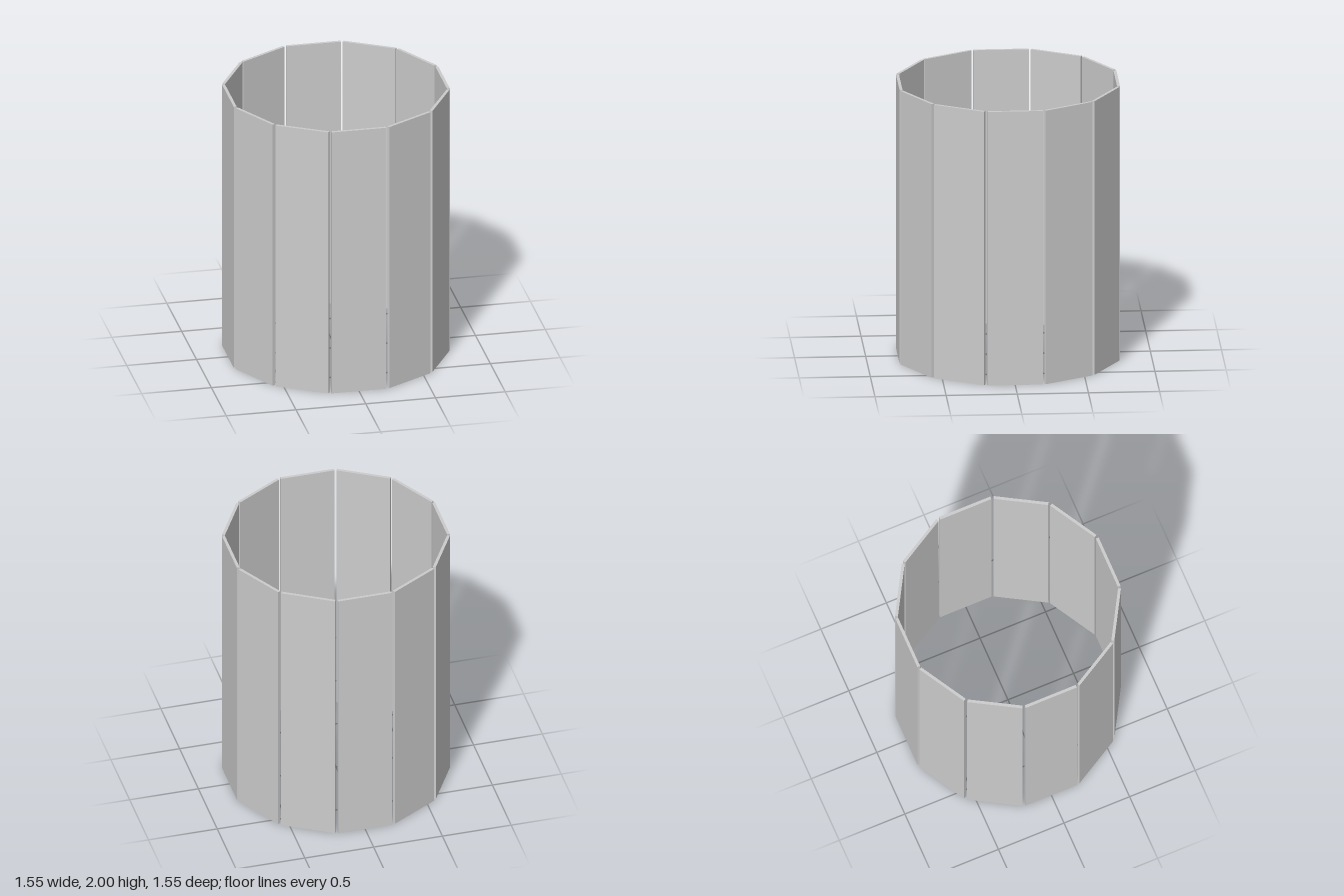
import * as THREE from 'three';

export function createModel() {
  const group = new THREE.Group();
  group.name = 'panelRing';

  const count = 12, radius = 0.764, width = 0.39, height = 2, thickness = 0.021;
  const material = new THREE.MeshStandardMaterial({ color: 0xcccccc });
  const geometry = new THREE.BoxGeometry(width, height, thickness);

  // Flat upright panels, evenly spaced around a circle with narrow gaps
  for (let i = 0; i < count; i++) {
    const angle = (i / count) * Math.PI * 2;
    const panel = new THREE.Mesh(geometry, material);
    panel.name = `panel${i + 1}`;
    panel.position.set(Math.sin(angle) * radius, height / 2, Math.cos(angle) * radius);
    panel.rotation.y = angle;
    group.add(panel);
  }
  return group;
}
